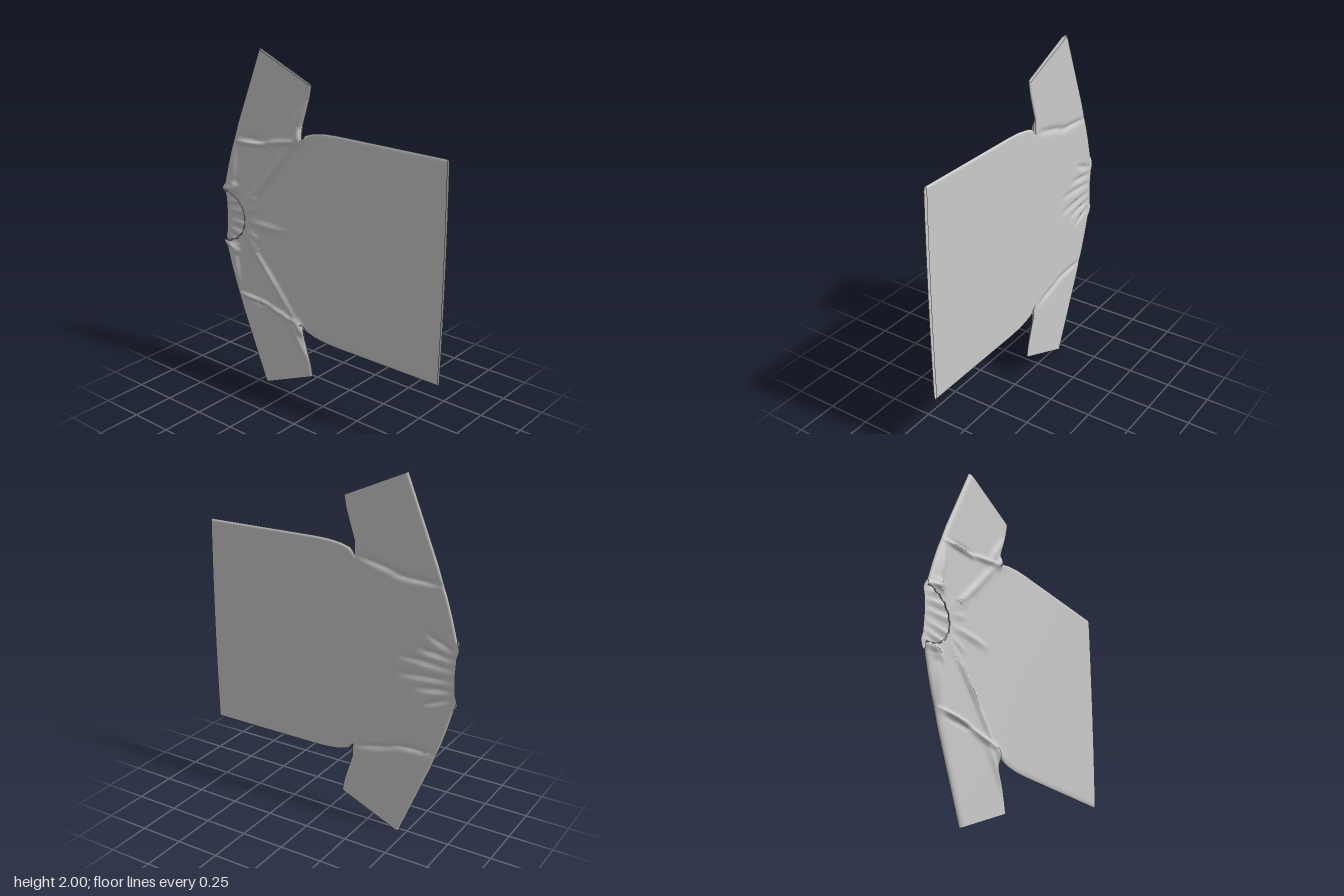
import * as THREE from 'three';

// Fold edges of the garment as [x, v], where v is the distance from the mid line
const NECK = [[-0.755, 0], [-0.76, 0.1], [-0.772, 0.14], [-0.765, 0.165], [-0.755, 0.19]];
const SHOULDER = [[-0.755, 0.19], [-0.722, 0.31], [-0.69, 0.41], [-0.67, 0.46], [-0.635, 0.56], [-0.59, 0.67], [-0.455, 1]];
const SLEEVE_UNDER = [[-0.16, 0.54], [-0.157, 0.62], [-0.125, 0.72], [-0.107, 0.78], [-0.095, 0.845]];
const SIDE = [[-0.16, 0.54], [-0.135, 0.575], [-0.08, 0.593], [0, 0.604], [0.08, 0.607], [0.76, 0.605]];
const BODY_EDGE = [[-0.67, 0.46], ...SIDE];
const FOLDED = [SHOULDER, SLEEVE_UNDER, SIDE];

// Folds: [x0, v0, x1, v1, width, height]
const FRONT_FOLDS = [
  [-0.56, 0.0, -0.28, 0.0, 0.018, 0.012],
  [-0.57, 0.06, -0.47, 0.1, 0.014, 0.008],
  [-0.57, 0.1, -0.36, 0.34, 0.018, 0.012],
  [-0.42, 0.27, -0.2, 0.54, 0.02, 0.012],
  [-0.28, 0.5, -0.13, 0.74, 0.022, 0.012],
  [-0.68, 0.18, -0.65, 0.42, 0.022, 0.014],
  [-0.65, 0.465, -0.42, 0.475, 0.014, 0.014],
  [-0.45, 0.48, -0.17, 0.54, 0.016, 0.014],
  [-0.6, 0.49, -0.4, 0.5, 0.014, -0.006],
  [-0.19, 0.53, -0.15, 0.6, 0.03, 0.026],
  [-0.74, 0.165, -0.65, 0.185, 0.016, 0.02],
  [-0.71, 0.21, -0.63, 0.2, 0.014, 0.01],
];
const BACK_FOLDS = [
  [-0.74, 0.03, -0.45, 0.05, 0.013, 0.011],
  [-0.74, 0.085, -0.55, 0.11, 0.013, 0.012],
  [-0.74, 0.13, -0.6, 0.19, 0.013, 0.01],
  [-0.65, 0.465, -0.4, 0.475, 0.016, 0.01],
  [-0.45, 0.48, -0.2, 0.54, 0.018, 0.01],
];

const lerp = THREE.MathUtils.lerp;

// Piecewise linear lookup in a list of pairs
function lookup(points, value, key) {
  for (let i = 1; i < points.length; i++) {
    const a = points[i - 1], b = points[i];
    if (value <= b[key] || i === points.length - 1) {
      const t = THREE.MathUtils.clamp((value - a[key]) / (b[key] - a[key]), 0, 1);
      return lerp(a[1 - key], b[1 - key], t);
    }
  }
}

// Distance to a segment and the position along it
function toSegment(x, v, x0, v0, x1, v1) {
  const dx = x1 - x0, dv = v1 - v0;
  const t = THREE.MathUtils.clamp(((x - x0) * dx + (v - v0) * dv) / (dx * dx + dv * dv), 0, 1);
  return [Math.hypot(x - x0 - t * dx, v - v0 - t * dv), t];
}

function edgeDistance(x, v) {
  let d = 1;
  for (const line of FOLDED) {
    for (let i = 1; i < line.length; i++) {
      d = Math.min(d, toSegment(x, v, ...line[i - 1], ...line[i])[0]);
    }
  }
  return d;
}

function foldHeight(folds, x, v) {
  let sum = 0;
  for (const [x0, v0, x1, v1, w, h] of folds) {
    const [d, t] = toSegment(x, v, x0, v0, x1, v1);
    sum += h * Math.exp(-((d / w) ** 2)) * (0.3 + 0.7 * Math.sin(Math.PI * t));
  }
  return sum;
}

// Depth of the cloth: both layers meet in a rounded fold at the closed edges
function depth(x, y, front) {
  const v = Math.abs(y - 1), middle = -0.021;
  const near = Math.min(1, edgeDistance(x, v) / (front ? 0.035 : 0.015));
  const round = Math.sqrt(1 - (1 - near) ** 2);
  if (!front) {
    return middle - 0.009 * round + foldHeight(BACK_FOLDS, x, v) * round;
  }
  const flat = 0.008 + 0.008 * THREE.MathUtils.smoothstep(-x, 0, 0.6);
  return middle + flat * round + foldHeight(FRONT_FOLDS, x, v) * (0.35 + 0.65 * round);
}

// Grid of cloth from a rule (a, b) -> [x, y]; a and b run from 0 to 1
function panel(name, rule, rows, columns, front, flip) {
  const positions = [], index = [];
  for (let i = 0; i <= rows; i++) {
    for (let j = 0; j <= columns; j++) {
      const [x, y] = rule(i / rows, j / columns);
      positions.push(x, y, depth(x, y, front));
      if (i < rows && j < columns) {
        const a = i * (columns + 1) + j, b = a + 1, c = a + columns + 1, d = c + 1;
        if (flip) index.push(a, c, b, b, c, d);
        else index.push(a, b, c, b, d, c);
      }
    }
  }
  const geometry = new THREE.BufferGeometry();
  geometry.setAttribute('position', new THREE.Float32BufferAttribute(positions, 3));
  geometry.setIndex(index);
  geometry.computeVertexNormals();
  const material = new THREE.MeshStandardMaterial({ color: 0xcccccc, side: THREE.DoubleSide });
  const mesh = new THREE.Mesh(geometry, material);
  mesh.name = name;
  return mesh;
}

// Body: rows across the width, columns from neck to hem
function bodyRule(front) {
  return (a, b) => {
    const s = Math.sin((a - 0.5) * Math.PI);
    const t = b ** 1.25;
    const v = 0.46 * Math.abs(s);
    let start = lookup(v < 0.19 ? NECK : SHOULDER, v, 1);
    if (front && v < 0.155) start = -0.765 + 0.175 * Math.sqrt(1 - (v / 0.155) ** 2);
    const end = 0.767 - 0.007 * s * s;
    const half = lookup(BODY_EDGE, lerp(-0.67, 0.76, t), 0);
    return [lerp(start, end, t), 1 + s * half];
  };
}

// Sleeve: rows from armhole to cuff, columns from the top fold to the under fold
function sleeveRule(side) {
  return (a, b) => {
    const t = 0.5 - 0.5 * Math.cos(Math.PI * b);
    const vTop = lerp(0.46, 1, a), vUnder = lerp(0.54, 0.845, a);
    const x = lerp(lookup(SHOULDER, vTop, 1), lookup(SLEEVE_UNDER, vUnder, 1), t);
    return [x, 1 + side * lerp(vTop, vUnder, t)];
  };
}

export function createModel() {
  const shirt = new THREE.Group();
  shirt.name = 'shirt';

  for (const front of [true, false]) {
    const layer = front ? 'Front' : 'Back';
    shirt.add(panel('body' + layer, bodyRule(front), 130, 110, front, !front));
    for (const side of [1, -1]) {
      const name = (side > 0 ? 'upperSleeve' : 'lowerSleeve') + layer;
      shirt.add(panel(name, sleeveRule(side), 50, 50, front, front === (side > 0)));
    }
  }

  // Neckband along the scooped front edge, slightly gathered
  const points = [];
  for (let i = 0; i <= 40; i++) {
    const angle = (i / 40 - 0.5) * Math.PI;
    const x = -0.765 + 0.175 * Math.cos(angle), y = 1 + 0.155 * Math.sin(angle);
    points.push(new THREE.Vector3(x, y, depth(x, y, true) - 0.002 + 0.002 * Math.cos(i * 1.5)));
  }
  const band = new THREE.Mesh(
    new THREE.TubeGeometry(new THREE.CatmullRomCurve3(points), 100, 0.004, 8),
    new THREE.MeshStandardMaterial({ color: 0xcccccc })
  );
  band.name = 'neckband';
  shirt.add(band);
  return shirt;
}
